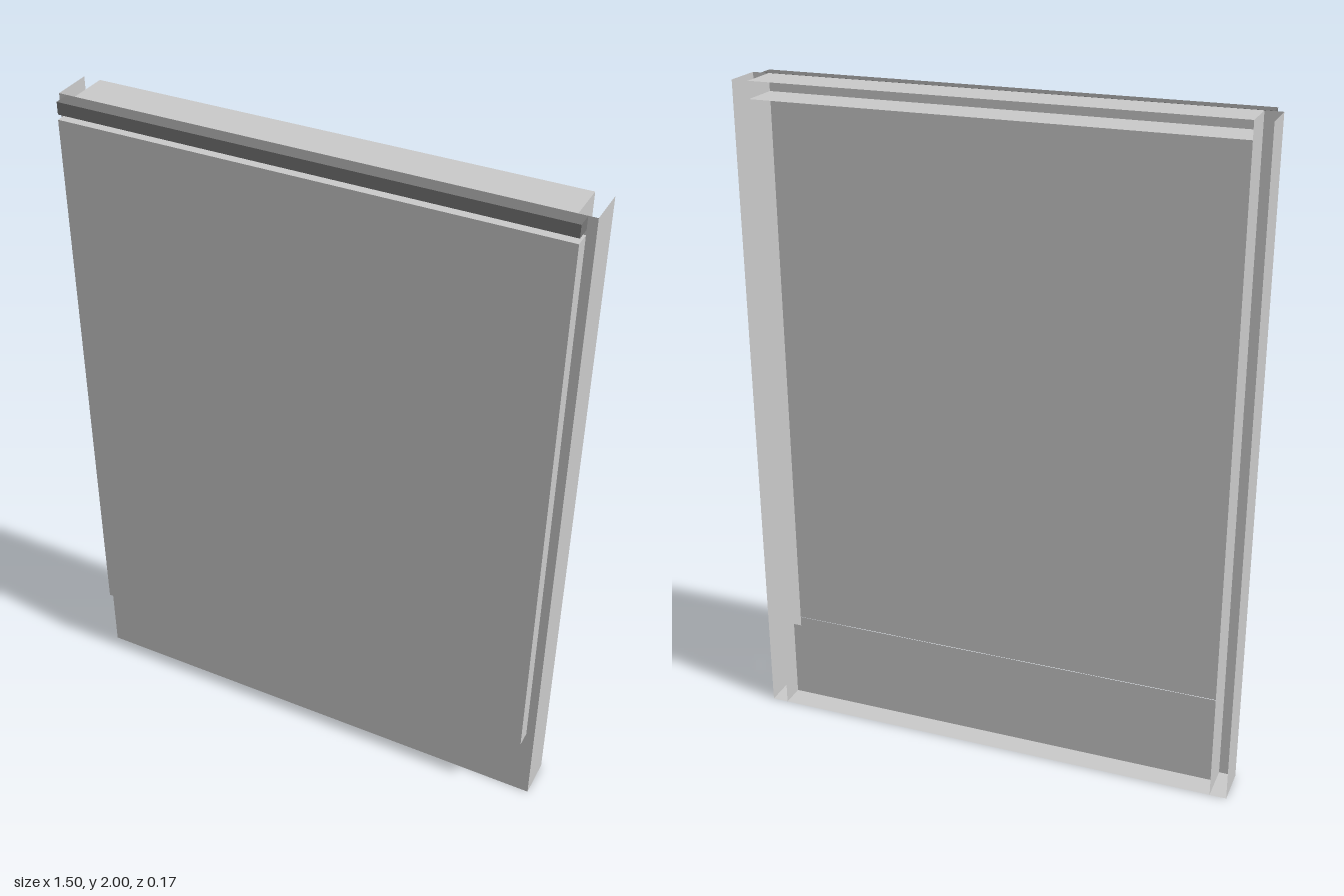
import * as THREE from 'three';

const W = 0.75, H = 2, INNER = 0.7, FRONT = 0.035, BACK = -0.085;
const DEPTH = FRONT - BACK, MID_Z = (FRONT + BACK) / 2;

const grey = new THREE.MeshStandardMaterial({ color: 0xcccccc });
const sheetMetal = new THREE.MeshStandardMaterial({ color: 0xcccccc, side: THREE.DoubleSide });
const dark = new THREE.MeshStandardMaterial({ color: 0x777777 });

// Closed box given by its centre and size
function box(name, material, [x, y, z], [w, h, d]) {
  const mesh = new THREE.Mesh(new THREE.BoxGeometry(w, h, d), material);
  mesh.name = name;
  mesh.position.set(x, y, z);
  return mesh;
}

// Thin sheet whose normal points along the given axis
function sheet(name, axis, [x, y, z], w, h) {
  const geometry = new THREE.PlaneGeometry(w, h);
  if (axis === 'x') geometry.rotateY(Math.PI / 2);
  if (axis === 'y') geometry.rotateX(-Math.PI / 2);
  const mesh = new THREE.Mesh(geometry, sheetMetal);
  mesh.name = name;
  mesh.position.set(x, y, z);
  return mesh;
}

function part(name, ...children) {
  const group = new THREE.Group();
  group.name = name;
  group.add(...children);
  return group;
}

// Upright channel, open at the back and the top
function sidePost(name, side) {
  return part(name,
    sheet('outerWall', 'x', [side * W, H / 2, MID_Z], DEPTH, H),
    sheet('innerWall', 'x', [side * INNER, H / 2, MID_Z], DEPTH, H),
    sheet('postFront', 'z', [side * (W + INNER) / 2, H / 2, FRONT], W - INNER, H));
}

export function createModel() {
  const model = new THREE.Group();
  model.name = 'applianceFront';

  // Frame: two posts, a top channel open at the back, and a base sheet
  model.add(sidePost('leftPost', 1), sidePost('rightPost', -1));
  model.add(part('topRail',
    sheet('railTop', 'y', [0, H, MID_Z], 2 * INNER, DEPTH),
    sheet('railBottom', 'y', [0, 1.95, MID_Z], 2 * INNER, DEPTH),
    sheet('railFront', 'z', [0, 1.975, FRONT], 2 * INNER, 0.05)));
  model.add(sheet('basePlate', 'y', [0, 0, MID_Z], 2 * W, DEPTH));

  // Toe kick: front and rear skins below the door
  const kickH = 0.25, kickBack = -0.012;
  model.add(part('toeKick',
    sheet('kickFront', 'z', [0, kickH / 2, FRONT], 2 * INNER, kickH),
    sheet('kickRear', 'z', [0, kickH / 2, kickBack], 2 * INNER, kickH)));

  // Door panel and the dark strip above it
  model.add(box('doorPanel', grey, [0, 1.1, 0.061], [1.45, 1.7, 0.048]));
  model.add(box('controlStrip', dark, [0, 1.982, 0.06], [1.45, 0.036, 0.046]));

  return model;
}
